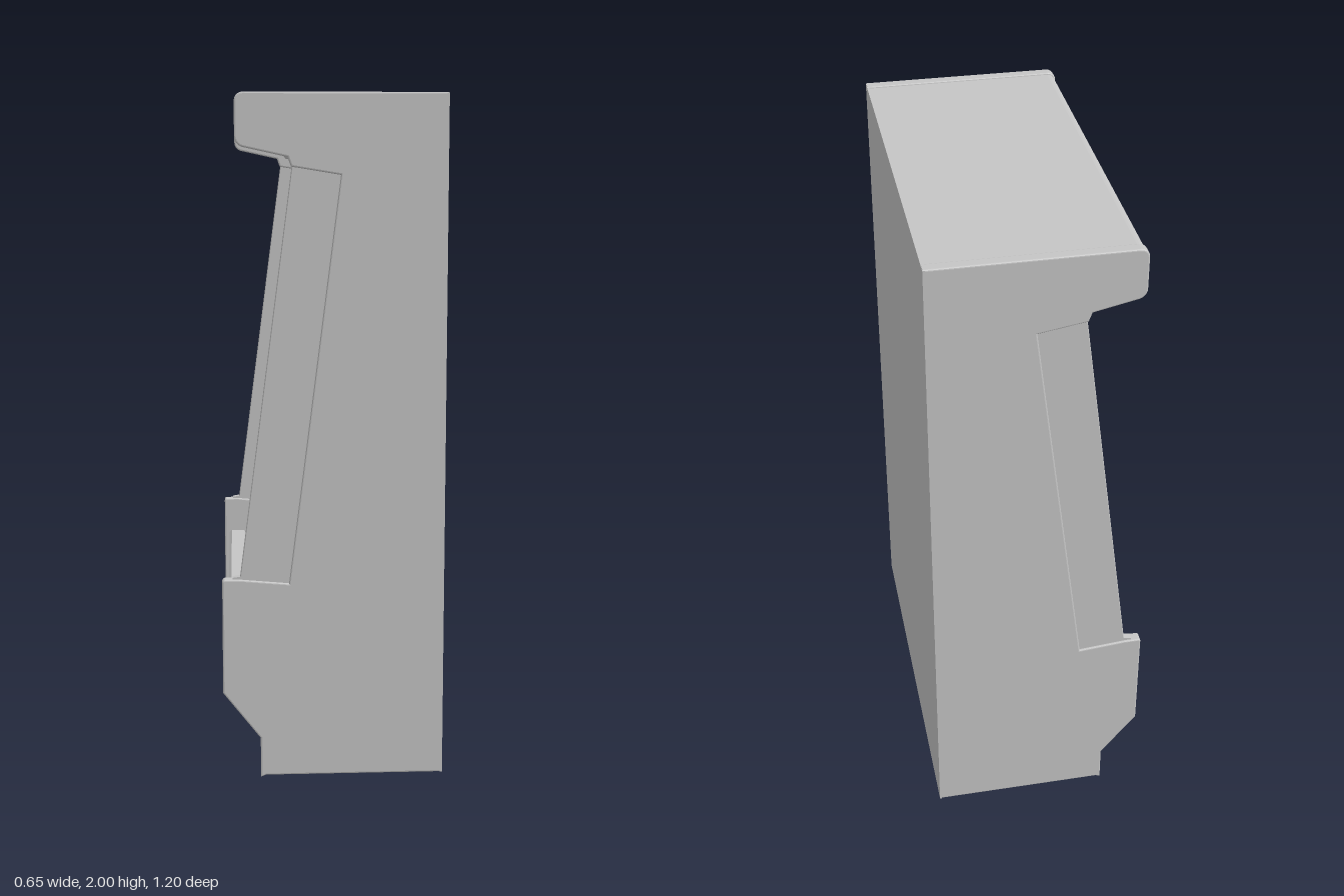
import * as THREE from 'three';

// Open-fronted refrigerated display cabinet; the open side faces -x.
export function createModel() {
  const root = new THREE.Group();
  root.name = 'displayCabinet';
  const grey = new THREE.MeshStandardMaterial({ color: 0xc5c5c5 });
  grey.name = 'grey';

  // Extrudes an x/y profile along z, centred on zMid
  function slab(name, points, zMid, width, bevel = 0) {
    const shape = new THREE.Shape(points.map(([x, y]) => new THREE.Vector2(x, y)));
    const geometry = new THREE.ExtrudeGeometry(shape, {
      depth: width - 2 * bevel,
      bevelEnabled: bevel > 0,
      bevelThickness: bevel,
      bevelSize: bevel,
      bevelOffset: -bevel,
      bevelSegments: 3,
    });
    geometry.translate(0, 0, zMid - width / 2 + bevel);
    const mesh = new THREE.Mesh(geometry, grey);
    mesh.name = name;
    root.add(mesh);
  }

  // Points of a rounded corner, angles in degrees
  function arc(cx, cy, r, from, to, steps = 5) {
    return Array.from({ length: steps + 1 }, (_, i) => {
      const a = THREE.MathUtils.degToRad(from + ((to - from) * i) / steps);
      return [cx + r * Math.cos(a), cy + r * Math.sin(a)];
    });
  }

  // Side panels, with a slanted inset strip filling the notch at the opening
  const sideProfile = [
    [0.324, 0.006], [0.324, 2],
    ...arc(-0.255, 1.975, 0.025, 90, 180),
    ...arc(-0.25, 1.877, 0.03, 180, 257),
    [-0.13, 1.82], [-0.12, 1.793], [0.02, 1.77], [-0.13, 0.59], [-0.275, 0.603],
    ...arc(-0.317, 0.595, 0.008, 90, 180, 3),
    [-0.325, 0.26], [-0.215, 0.12], [-0.215, 0], [-0.2, 0.006],
  ];
  const stripProfile = [[-0.115, 0.575], [0.04, 1.78], [-0.117, 1.805], [-0.275, 0.59]];
  for (const side of [-1, 1]) {
    slab('sidePanel', sideProfile, side * 0.5825, 0.035, 0.005);
    slab('sideStrip', stripProfile, side * 0.5825, 0.022, 0.003);
    slab('stripFoot', [[-0.295, 0.6], [-0.27, 0.6], [-0.268, 0.612], [-0.295, 0.608]], side * 0.5825, 0.022);
  }

  // Rear sheet across the full width
  slab('backSheet', [[0.318, 0.006], [0.325, 0.006], [0.325, 1.998], [0.318, 1.998]], 0, 1.2);

  // Continuous shell: back wall, canopy, base trough and kick plate, open below
  slab('cabinetShell', [
    [0.322, 0.008], [0.322, 1.995],
    ...arc(-0.253, 1.971, 0.024, 90, 180),
    ...arc(-0.267, 1.94, 0.01, 180, 270, 3),
    [-0.245, 1.93], [-0.12, 1.85], [-0.1, 1.82],
    [0.27, 1.8], [0.27, 0.47], [-0.2, 0.46], [-0.215, 0.475], [-0.25, 0.475],
    [-0.255, 0.486], [-0.3, 0.486], [-0.308, 0.478], [-0.308, 0.265], [-0.2, 0.125],
    [-0.2, 0.008], [-0.19, 0.008], [-0.19, 0.13], [-0.298, 0.27], [-0.298, 0.45],
    [-0.1, 0.37], [0.308, 0.35], [0.308, 0.008],
  ], 0, 1.132);

  // Bottom deck and five shelves, each with a deeper front lip: front x, front y, rear y
  const shelves = [
    ['bottomDeck', -0.175, 0.492, 0.52], ['shelf', -0.07, 0.808, 0.815],
    ['shelf', -0.038, 0.995, 1.0], ['shelf', -0.034, 1.165, 1.17],
    ['shelf', -0.008, 1.405, 1.41], ['shelf', 0.025, 1.6, 1.605],
  ];
  for (const [name, x, y, rear] of shelves) {
    slab(name, [
      [0.275, rear], ...arc(x + 0.008, y - 0.008, 0.008, 90, 180, 3), [x, y - 0.032],
      [x + 0.015, y - 0.032], [x + 0.015, y - 0.018], [0.275, rear - 0.018],
    ], 0, 1.125);
  }

  return root;
}
